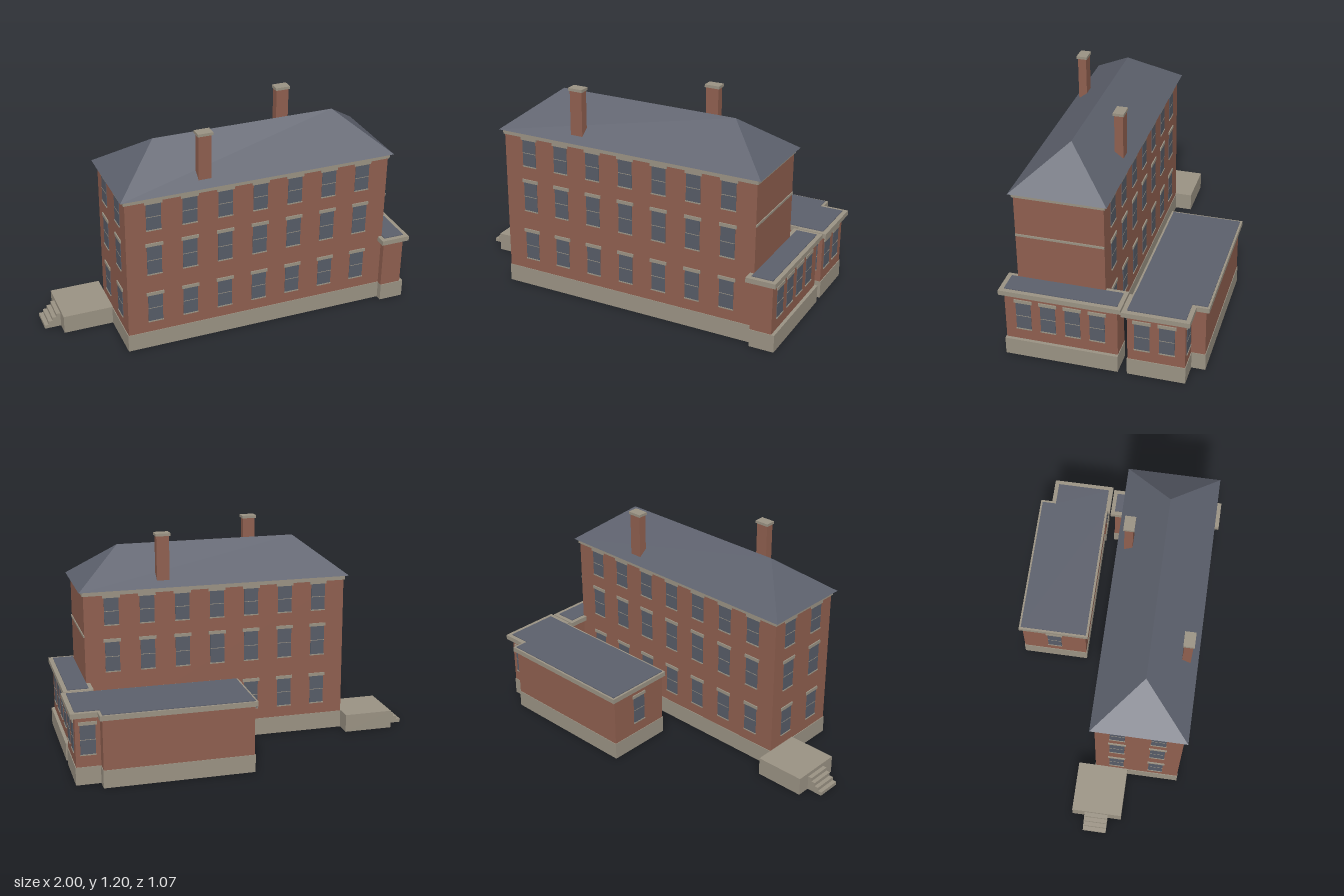
import * as THREE from 'three';

const mat = (name, color) => {
  const m = new THREE.MeshStandardMaterial({ color });
  m.name = name;
  return m;
};

export function createModel() {
  const brick = mat('brick', 0x8f5f4f);
  const stone = mat('stone', 0x9a9283);
  const slate = mat('slate', 0x5c606c);
  const glass = mat('glass', 0x575c67);

  const model = new THREE.Group();
  model.name = 'brickHouse';

  // Box given by its extents on each axis
  const box = (parent, name, material, [x0, x1], [y0, y1], [z0, z1]) => {
    const mesh = new THREE.Mesh(new THREE.BoxGeometry(x1 - x0, y1 - y0, z1 - z0), material);
    mesh.position.set((x0 + x1) / 2, (y0 + y1) / 2, (z0 + z1) / 2);
    mesh.name = name;
    parent.add(mesh);
  };

  // Sash window facing +z, then turned by angle about y
  const addWindow = (x, y0, z, angle, height = 0.175) => {
    const g = new THREE.Group();
    g.name = 'window';
    const top = height - 0.016, mid = (top + 0.006) / 2;
    box(g, 'pane', glass, [-0.04, 0.04], [0.004, top], [-0.002, 0.003]);
    box(g, 'sashRail', stone, [-0.04, 0.04], [mid - 0.0015, mid + 0.0015], [0, 0.004]);
    box(g, 'lintel', stone, [-0.048, 0.048], [top, height + 0.002], [-0.002, 0.006]);
    box(g, 'sill', stone, [-0.042, 0.042], [0, 0.006], [-0.002, 0.006]);
    g.position.set(x, y0, z);
    g.rotation.y = angle;
    model.add(g);
  };
  const BACK = Math.PI, RIGHT = Math.PI / 2, LEFT = -Math.PI / 2;

  // Main block
  box(model, 'mainPlinth', stone, [-0.637, 0.843], [0, 0.098], [0.002, 0.477]);
  box(model, 'mainWalls', brick, [-0.633, 0.84], [0.098, 0.882], [0.005, 0.474]);
  box(model, 'mainCornice', stone, [-0.64, 0.847], [0.88, 0.905], [-0.002, 0.481]);
  box(model, 'stringCourse', stone, [0.838, 0.845], [0.651, 0.663], [0.005, 0.474]);

  // Hipped roof: eave corners and two ridge ends
  const a = [-0.658, 0.905, 0.494], b = [0.865, 0.905, 0.494];
  const c = [0.865, 0.905, -0.018], d = [-0.658, 0.905, -0.018];
  const r = [-0.4, 1.105, 0.238], s = [0.61, 1.105, 0.238];
  const faces = [a, b, s, a, s, r, b, c, s, c, d, r, c, r, s, d, a, r, a, d, c, a, c, b];
  const roofGeo = new THREE.BufferGeometry();
  roofGeo.setAttribute('position', new THREE.Float32BufferAttribute(faces.flat(), 3));
  roofGeo.computeVertexNormals();
  const roof = new THREE.Mesh(roofGeo, slate);
  roof.name = 'hippedRoof';
  model.add(roof);

  // Chimneys
  for (const [x, z, y0] of [[-0.195, 0.43, 0.93], [0.398, 0.046, 0.93]]) {
    box(model, 'chimney', brick, [x - 0.035, x + 0.035], [y0, 1.182], [z - 0.023, z + 0.023]);
    box(model, 'chimneyCap', stone, [x - 0.041, x + 0.041], [1.18, 1.195], [z - 0.029, z + 0.029]);
  }

  // Three rows of windows on the front, back and left
  for (const [y, h] of [[0.16, 0.18], [0.449, 0.186], [0.711, 0.17]]) {
    for (let i = 0; i < 7; i++) {
      const x = -0.482 + i * 0.1953;
      addWindow(x, y, 0.474, 0, h);
      addWindow(x, y, 0.005, BACK, h);
    }
    for (const z of [0.125, 0.345]) addWindow(-0.633, y, z, LEFT, h);
  }

  // Entrance landing and steps
  box(model, 'landing', stone, [-0.91, -0.633], [0, 0.102], [-0.092, 0.188]);
  for (let i = 0; i < 4; i++) {
    box(model, 'step', stone, [-1 + i * 0.0225, -0.91], [i * 0.02, 0.02 + i * 0.02], [-0.02, 0.112]);
  }

  // Side wing
  box(model, 'sideWingPlinth', stone, [0.838, 0.975], [0, 0.097], [-0.093, 0.512]);
  box(model, 'sideWingWalls', brick, [0.838, 0.957], [0.097, 0.372], [-0.09, 0.508]);
  box(model, 'sideWingCornice', stone, [0.817, 0.979], [0.37, 0.397], [-0.113, 0.533]);
  box(model, 'sideWingRoof', slate, [0.84, 0.955], [0.396, 0.401], [-0.09, 0.508]);
  for (let i = 0; i < 4; i++) addWindow(0.957, 0.16, 0.016 + i * 0.131, RIGHT, 0.18);

  // L-shaped rear wing, extruded from its plan
  const slab = (name, material, x0, x1, x2, zBack, zStep, zFront, zEnd, y0, y1) => {
    const plan = new THREE.Shape([
      [x0, zFront], [x0, zBack], [x1, zBack], [x1, zStep], [x2, zStep], [x2, zEnd],
      [x1 - 0.02, zEnd], [x1 - 0.02, zFront],
    ].map(([x, z]) => new THREE.Vector2(x, -z)));
    const geo = new THREE.ExtrudeGeometry(plan, { depth: y1 - y0, bevelEnabled: false });
    const mesh = new THREE.Mesh(geo.rotateX(-Math.PI / 2).translate(0, y0, 0), material);
    mesh.name = name;
    model.add(mesh);
  };
  slab('rearWingPlinth', stone, 0.035, 0.843, 0.974, -0.521, -0.447, -0.147, -0.141, 0, 0.097);
  slab('rearWingWalls', brick, 0.038, 0.84, 0.97, -0.518, -0.444, -0.15, -0.144, 0.097, 0.372);
  slab('rearWingCornice', stone, 0.025, 0.854, 0.995, -0.536, -0.47, -0.135, -0.12, 0.37, 0.397);
  slab('rearWingRoof', slate, 0.037, 0.84, 0.97, -0.525, -0.446, -0.147, -0.145, 0.396, 0.401);
  for (const z of [-0.22, -0.35]) addWindow(0.97, 0.16, z, RIGHT, 0.18);
  addWindow(0.905, 0.16, -0.444, BACK, 0.18);
  addWindow(0.038, 0.16, -0.334, LEFT, 0.18);
  addWindow(0.905, 0.16, -0.144, 0, 0.18);

  return model;
}
